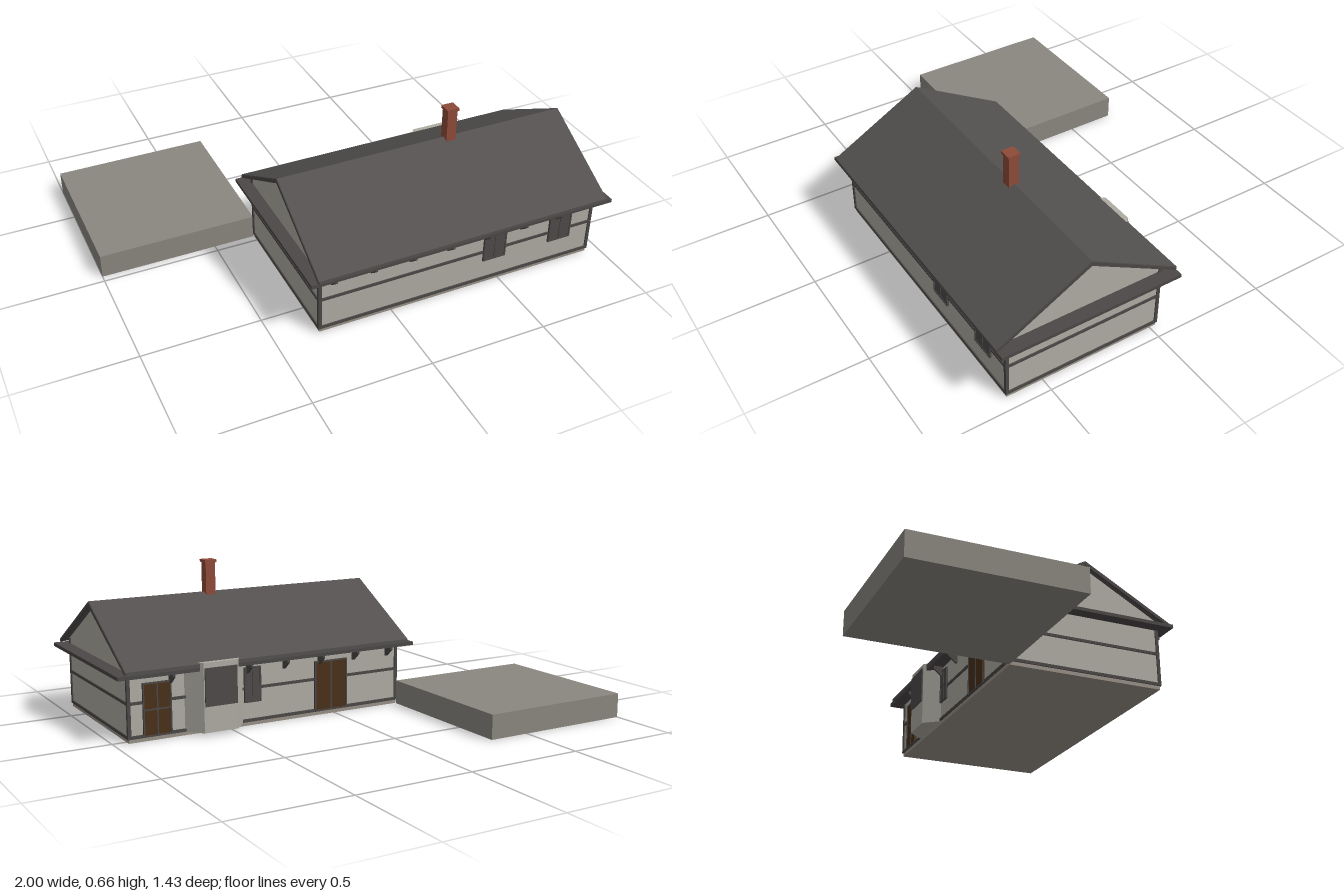
import * as THREE from 'three';

const material = (name, color, side = THREE.FrontSide) => {
  const m = new THREE.MeshStandardMaterial({ color, side });
  m.name = name;
  return m;
};

export function createModel() {
  const plaster = material('plaster', 0xaeaca2);
  const roofing = material('roofing', 0x545050);
  const timber = material('dark timber', 0x4b4847);
  const glass = material('dark glass', 0x4d4a49);
  const brick = material('brick', 0x8e4b38);
  const wood = material('brown wood', 0x4a2f1a);
  const stone = material('stone', 0x8b8780);
  const footing = material('footing', 0x989086);

  const house = new THREE.Group();
  house.name = 'house';

  const add = (parent, name, geometry, mat) => {
    const mesh = new THREE.Mesh(geometry, mat);
    mesh.name = name;
    parent.add(mesh);
    return mesh;
  };
  // Box given by its lower and upper limits on each axis
  const box = (parent, name, mat, x0, x1, y0, y1, z0, z1) => {
    const mesh = add(parent, name, new THREE.BoxGeometry(x1 - x0, y1 - y0, z1 - z0), mat);
    mesh.position.set((x0 + x1) / 2, (y0 + y1) / 2, (z0 + z1) / 2);
    return mesh;
  };
  // Profile of [z, y] points extruded along x
  const alongX = (parent, name, mat, points, x0, x1) => {
    const shape = new THREE.Shape(points.map(([z, y]) => new THREE.Vector2(-z, y)));
    const geometry = new THREE.ExtrudeGeometry(shape, { depth: x1 - x0, bevelEnabled: false });
    geometry.rotateY(Math.PI / 2);
    geometry.translate(x0, 0, 0);
    return add(parent, name, geometry, mat);
  };

  // Wall limits and the ridge line
  const X0 = -0.318, X1 = 0.94, Z0 = -0.028, Z1 = 0.658, MID = 0.315;

  // Walls, footing and terrace
  box(house, 'footing', footing, X0, X1, 0, 0.016, Z0, Z1);
  box(house, 'walls', plaster, X0, X1, 0.016, 0.28, Z0, Z1);
  box(house, 'terrace', stone, -1, -0.32, 0, 0.104, -0.715, -0.032);

  // Timber rails round the walls
  const t = 0.005;
  for (const [name, y0, y1] of [['sillRail', 0.016, 0.029], ['middleRail', 0.154, 0.166]]) {
    for (const z of [Z0, Z1]) box(house, name, timber, X0, X1, y0, y1, z - t, z + t);
    for (const x of [X0, X1]) box(house, name, timber, x - t, x + t, y0, y1, Z0, Z1);
  }
  // Corner posts
  for (const x of [X0, X1]) {
    for (const z of [Z0, Z1]) {
      const cx = x + (x < 0 ? 0.002 : -0.002), cz = z + (z < 0 ? 0.002 : -0.002);
      box(house, 'cornerPost', timber, cx - 0.007, cx + 0.007, 0.016, 0.31, cz - 0.007, cz + 0.007);
    }
  }

  // Eaves slab and gable triangles
  box(house, 'eaves', timber, -0.372, 0.998, 0.27, 0.285, -0.085, 0.71);
  alongX(house, 'gable', plaster, [[Z1, 0.28], [Z0, 0.28], [Z0, 0.312], [MID, 0.502], [Z1, 0.312]], X0, X1);

  // Two roof slopes meeting at the ridge, with barge boards at the gables
  for (const s of [1, -1]) {
    const slope = [[MID, 0.503], [MID + s * 0.4, 0.286], [MID + s * 0.4, 0.3], [MID, 0.522]];
    alongX(house, 'roofSlope', roofing, slope, -0.343, 0.966);
    const board = [[MID, 0.501], [MID + s * 0.397, 0.285], [MID + s * 0.397, 0.298], [MID, 0.52]];
    alongX(house, 'bargeBoard', timber, board, -0.345, -0.335);
    alongX(house, 'bargeBoard', timber, board, 0.958, 0.968);
  }

  // Eaves brackets on both long sides
  for (let i = 0; i < 7; i++) {
    const x = -0.265 + i * 0.171;
    for (const [z, s] of [[Z1, 1], [Z0, -1]]) {
      if (s < 0 && i === 5) continue;
      alongX(house, 'eavesBracket', timber,
        [[z, 0.225], [z + s * 0.008, 0.225], [z + s * 0.046, 0.257], [z + s * 0.046, 0.271], [z, 0.271]],
        x - 0.005, x + 0.005);
    }
  }

  // Chimney
  const chimney = new THREE.Group();
  chimney.name = 'chimney';
  house.add(chimney);
  box(chimney, 'chimneyStack', brick, 0.405, 0.449, 0.47, 0.65, 0.293, 0.337);
  box(chimney, 'chimneyCap', brick, 0.4, 0.454, 0.648, 0.66, 0.288, 0.342);

  // Framed opening: s is +1 on the front wall, -1 on the back wall
  const opening = (name, mat, x0, x1, y0, y1, z, s, columns, rows) => {
    const group = new THREE.Group();
    group.name = name;
    house.add(group);
    const plate = (part, m, a, b, c, d, depth) =>
      box(group, part, m, a, b, c, d, Math.min(z, z + s * depth), Math.max(z, z + s * depth));
    plate('pane', mat, x0, x1, y0, y1, 0.006);
    for (let i = 0; i <= columns; i++) {
      const x = x0 + 0.003 + (x1 - x0 - 0.006) * i / columns;
      plate('frameUpright', timber, x - 0.003, x + 0.003, y0, y1, 0.009);
    }
    for (let j = 0; j <= rows; j++) {
      const y = y0 + 0.003 + (y1 - y0 - 0.006) * j / rows;
      plate('frameBar', timber, x0, x1, y - 0.003, y + 0.003, 0.0085);
    }
  };
  opening('frontWindow', glass, 0.416, 0.521, 0.115, 0.27, Z1, 1, 2, 2);
  opening('frontWindow', glass, 0.731, 0.838, 0.115, 0.27, Z1, 1, 2, 2);
  opening('backWindow', glass, 0.358, 0.435, 0.1, 0.25, Z0, -1, 2, 2);
  opening('backDoor', wood, 0.758, 0.88, 0.018, 0.238, Z0, -1, 2, 2);
  opening('backDoubleDoor', wood, -0.06, 0.1, 0.018, 0.238, Z0, -1, 2, 1);

  // Bay with slanted cheeks on the back wall
  const plan = new THREE.Shape([[0.44, 0.02], [0.7, 0.02], [0.7, 0.028], [0.645, 0.097], [0.495, 0.097], [0.44, 0.028]]
    .map(([x, z]) => new THREE.Vector2(x, z)));
  const bay = new THREE.ExtrudeGeometry(plan, { depth: 0.289, bevelEnabled: false });
  bay.rotateX(-Math.PI / 2);
  bay.translate(0, 0.016, 0);
  add(house, 'bay', bay, plaster);
  box(house, 'bayWindow', glass, 0.499, 0.641, 0.125, 0.283, -0.103, -0.096);

  return house;
}
